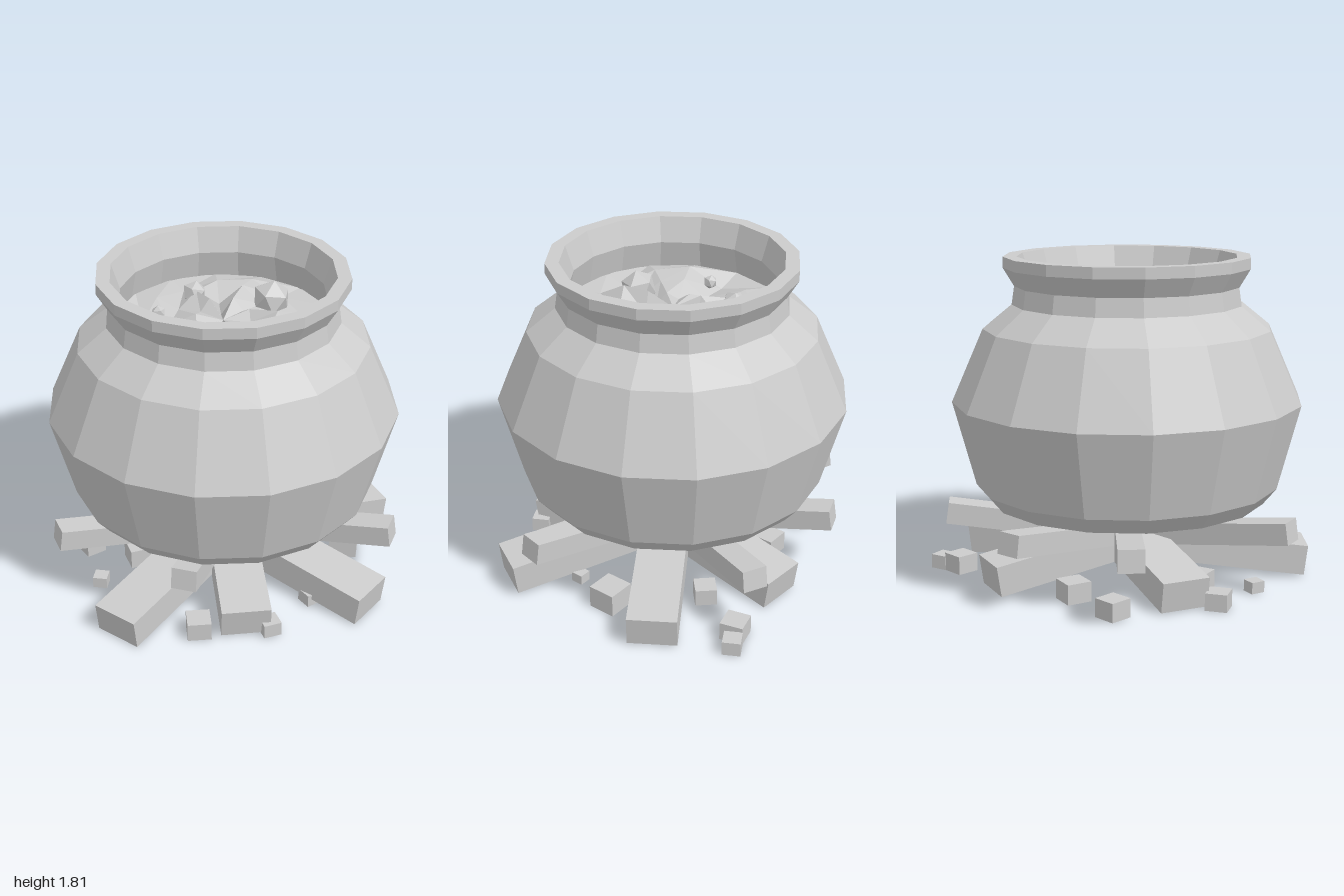
import * as THREE from 'three';

const grey = new THREE.MeshStandardMaterial({ color: 0xcccccc, flatShading: true });

// Faceted mesh with a name
function part(name, geometry, parent) {
  const g = geometry.index ? geometry.toNonIndexed() : geometry;
  g.computeVertexNormals();
  const mesh = new THREE.Mesh(g, grey);
  mesh.name = name;
  parent.add(mesh);
  return mesh;
}

// Repeatable pseudo-random value from a position, 0..1
function hash(x, z) {
  const s = Math.sin(Math.round(x * 100) * 12.99 + Math.round(z * 100) * 78.23) * 43758.55;
  return s - Math.floor(s);
}

// Log running from the middle of the fire to an end point
function addLog(name, parent, startY, end, width, height) {
  const start = new THREE.Vector3(0, startY, 0);
  const target = new THREE.Vector3(...end);
  const length = start.distanceTo(target);
  const geometry = new THREE.BoxGeometry(width, height, length).translate(0, 0, length / 2);
  const log = part(name, geometry, parent);
  log.position.copy(start);
  log.lookAt(target);
}

export function createModel() {
  const model = new THREE.Group();
  model.name = 'cauldronOnFire';

  // Pot: outer wall, lip and inner wall in one profile
  const pot = new THREE.Group();
  pot.name = 'pot';
  pot.position.set(-0.03, 0, -0.01);
  model.add(pot);
  const profile = [
    [0, 0.47], [0.77, 0.47], [0.845, 0.56], [0.97, 1.03], [0.795, 1.43], [0.635, 1.56],
    [0.62, 1.66], [0.68, 1.76], [0.68, 1.82], [0.605, 1.82], [0.56, 1.68], [0.6, 1.48],
  ].map(([r, y]) => new THREE.Vector2(r, y));
  part('potBody', new THREE.LatheGeometry(profile, 16), pot);

  // Stew: disc with a choppy surface
  const stew = new THREE.RingGeometry(0.001, 0.59, 14, 4).rotateX(-Math.PI / 2);
  const p = stew.attributes.position;
  for (let i = 0; i < p.count; i++) {
    const x = p.getX(i), z = p.getZ(i), r = Math.hypot(x, z);
    const bump = r > 0.1 && r < 0.5 ? (hash(x, z) - 0.4) * 0.13 : 0;
    p.setY(i, 1.53 + bump);
  }
  part('stew', stew, pot);

  // Food chunks floating in the stew
  [[0.23, -0.25, 0.11], [-0.2, -0.26, 0.07], [-0.05, 0.28, 0.1], [-0.35, 0.01, 0.04]].forEach(([x, z, r], i) => {
    const chunk = part('foodChunk', new THREE.IcosahedronGeometry(r, 0), pot);
    chunk.position.set(x, 1.555, z);
    chunk.rotation.set(i, i * 2, 0.4);
  });

  // Campfire
  const fire = new THREE.Group();
  fire.name = 'campfire';
  model.add(fire);

  // Thick logs sloping down to the ground
  [[-0.48, 0.89], [0.86, 0.47], [0.21, 0.76], [-0.76, -0.08], [0.05, -0.83], [0.82, -0.53]]
    .forEach(([x, z]) => addLog('lowLog', fire, 0.23, [x, 0.105, z], 0.27, 0.17));

  // Thin logs sloping up under the pot
  [[-0.9, -0.49], [-0.34, -0.9], [0.43, -0.91], [0.95, 0.2], [-0.12, 0.81], [-0.88, 0.51]]
    .forEach(([x, z]) => addLog('raisedLog', fire, 0.25, [x, 0.395, z], 0.14, 0.12));

  // Wood chips scattered on the ground: x, z, size
  [
    [0.67, -0.12, 0.16], [0.47, -0.82, 0.13], [0.58, -0.88, 0.1], [0.31, -0.5, 0.12],
    [-0.3, -0.5, 0.14], [-0.64, -0.45, 0.13], [-0.5, 0.16, 0.14], [-0.8, 0.1, 0.12],
    [-0.67, 0.42, 0.08], [-0.05, 0.77, 0.13], [0.33, 0.7, 0.1], [0.52, 0.4, 0.09], [0.6, 0.16, 0.07],
  ].forEach(([x, z, s], i) => {
    const chip = part('woodChip', new THREE.BoxGeometry(s, s * 0.8, s), fire);
    chip.position.set(x, s * 0.4 + 0.015, z);
    chip.rotation.y = (i % 4) * 0.25;
  });

  return model;
}
